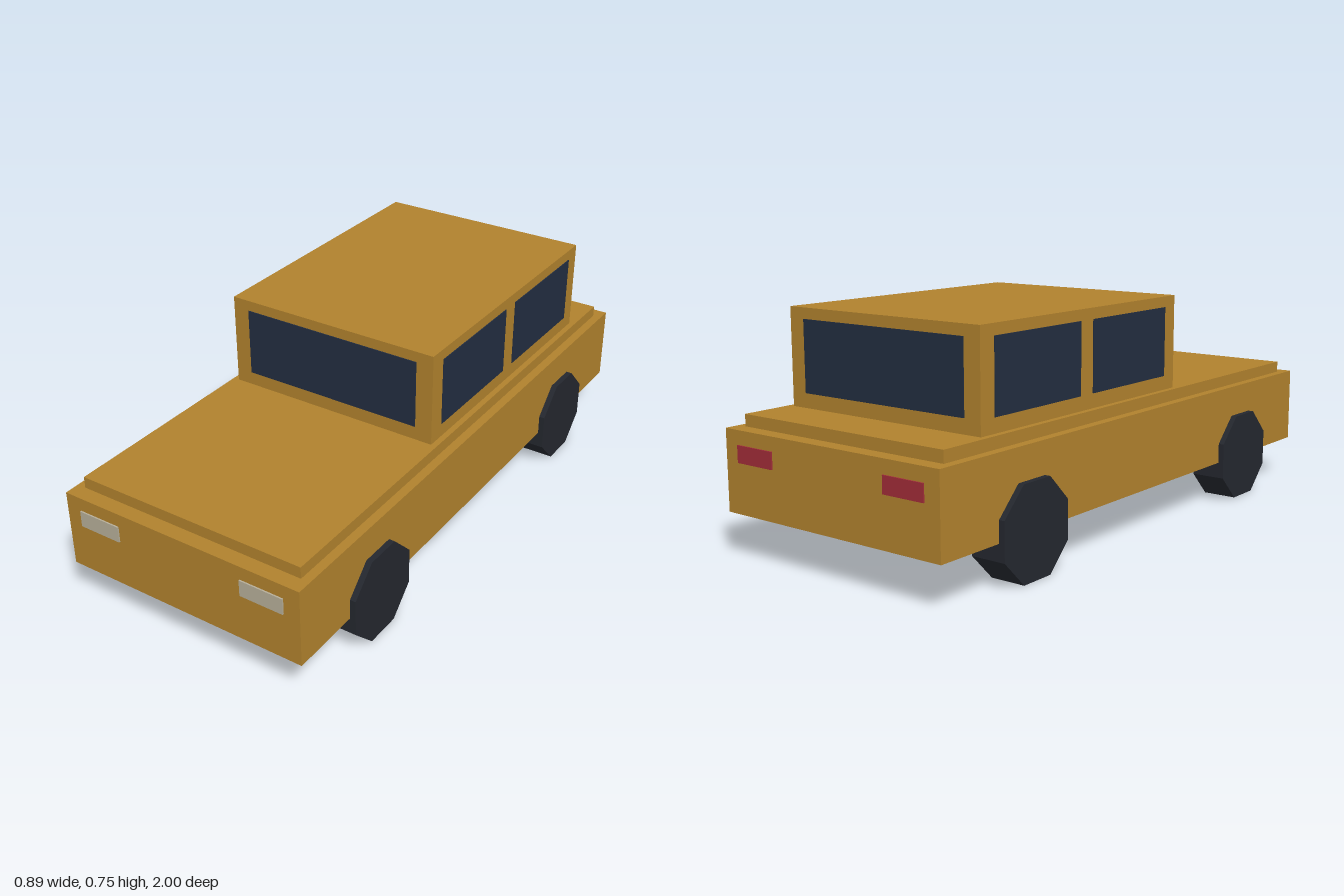
import * as THREE from 'three';

const mat = (color) => new THREE.MeshStandardMaterial({ color, flatShading: true });

export function createModel() {
  const car = new THREE.Group();
  car.name = 'car';
  const paint = mat(0xb0812d);
  const glass = mat(0x222d40);
  const rubber = mat(0x24272e);
  const headlight = mat(0xb5ad97);
  const taillight = mat(0xa02c38);

  // Box given by its [min, max] extent on each axis
  const box = (name, material, [x0, x1], [y0, y1], [z0, z1]) => {
    const mesh = new THREE.Mesh(new THREE.BoxGeometry(x1 - x0, y1 - y0, z1 - z0), material);
    mesh.position.set((x0 + x1) / 2, (y0 + y1) / 2, (z0 + z1) / 2);
    mesh.name = name;
    car.add(mesh);
  };

  // Stacked body shell
  box('lowerBody', paint, [-0.428, 0.428], [0.141, 0.4], [-0.995, 0.995]);
  box('bodyDeck', paint, [-0.398, 0.398], [0.4, 0.438], [-0.945, 0.945]);
  box('cabin', paint, [-0.378, 0.378], [0.438, 0.748], [-0.77, 0.225]);

  // Thin glass panels standing just proud of the cabin
  const glassY = [0.485, 0.713];
  box('windshield', glass, [-0.319, 0.319], glassY, [0.215, 0.228]);
  box('rearWindow', glass, [-0.319, 0.319], glassY, [-0.773, -0.76]);

  const wheelGeo = new THREE.CylinderGeometry(0.16, 0.16, 0.119, 8, 1, false, Math.PI / 8);
  wheelGeo.rotateZ(Math.PI / 2);

  for (const [side, s] of [['left', 1], ['right', -1]]) {
    const span = (a, b) => (s > 0 ? [a, b] : [-b, -a]);

    // Side windows
    box(side + 'FrontWindow', glass, span(0.37, 0.381), glassY, [-0.24, 0.165]);
    box(side + 'BackWindow', glass, span(0.37, 0.381), glassY, [-0.71, -0.305]);

    // Lamps
    box(side + 'Headlight', headlight, span(0.224, 0.373), [0.301, 0.355], [0.985, 1]);
    box(side + 'Taillight', taillight, span(0.224, 0.373), [0.301, 0.355], [-1, -0.985]);

    // Octagonal wheels
    for (const [end, z] of [['Front', 0.607], ['Back', -0.607]]) {
      const wheel = new THREE.Mesh(wheelGeo, rubber);
      wheel.position.set(s * 0.388, 0.148, z);
      wheel.name = side + end + 'Wheel';
      car.add(wheel);
    }
  }
  return car;
}
